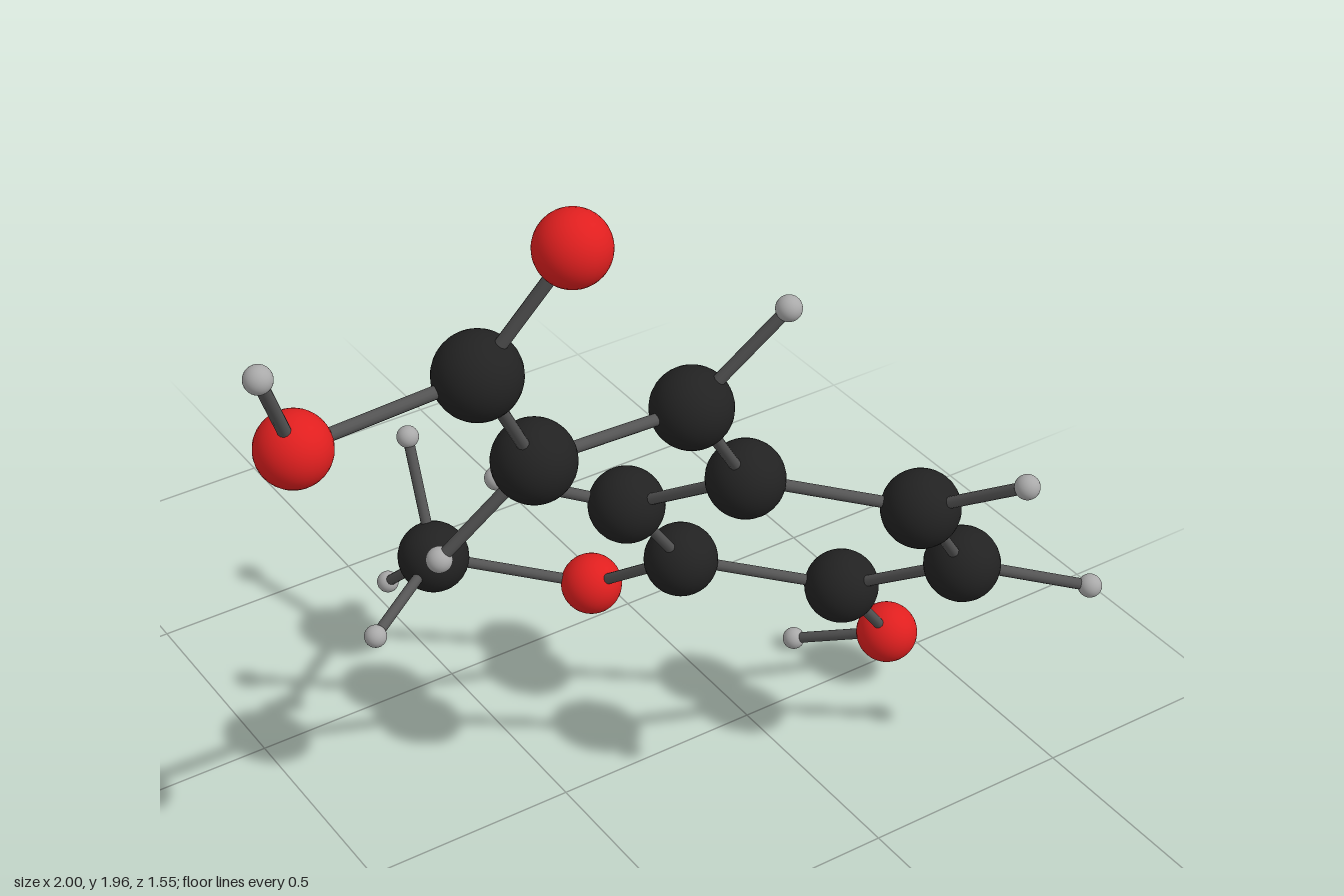
import * as THREE from 'three';

// Atom kinds: radius and colour
const KINDS = {
  carbon: { radius: 0.083, color: 0x222222 },
  oxygen: { radius: 0.071, color: 0xe01f1f },
  hydrogen: { radius: 0.026, color: 0xaaaaaa },
};

// Atoms: name -> kind and position
const ATOMS = {
  ring1: ['carbon', 0.22, 0.985, 0.33],
  ring2: ['carbon', 0.13, 0.775, 0.035],
  ring3: ['carbon', 0.34, 0.487, -0.057],
  ring4: ['carbon', 0.64, 0.417, 0.142],
  ring5: ['carbon', 0.735, 0.622, 0.427],
  ring6: ['carbon', 0.525, 0.908, 0.521],
  chainInner: ['carbon', 0.01, 1.292, 0.43],
  chainOuter: ['carbon', -0.342, 1.298, 0.424],
  acidCarbon: ['carbon', -0.528, 1.618, 0.538],
  acidOxygen: ['oxygen', -0.4, 1.89, 0.645],
  acidHydroxyl: ['oxygen', -0.876, 1.572, 0.503],
  hydroxyl: ['oxygen', 0.853, 0.139, 0.058],
  etherOxygen: ['oxygen', 0.283, 0.265, -0.332],
  methyl: ['carbon', -0.017, 0.332, -0.541],
  acidHydrogen: ['hydrogen', -0.973, 1.795, 0.585],
  chainOuterHydrogen: ['hydrogen', -0.503, 1.08, 0.34],
  chainInnerHydrogen: ['hydrogen', 0.157, 1.518, 0.527],
  ring2Hydrogen: ['hydrogen', -0.1, 0.842, -0.115],
  ring5Hydrogen: ['hydrogen', 0.972, 0.561, 0.577],
  ring6Hydrogen: ['hydrogen', 0.6, 1.068, 0.746],
  hydroxylHydrogen: ['hydrogen', 0.741, 0.03, -0.148],
  methylHydrogenTop: ['hydrogen', -0.002, 0.588, -0.67],
  methylHydrogenSide: ['hydrogen', -0.26, 0.305, -0.386],
  methylHydrogenBottom: ['hydrogen', -0.026, 0.128, -0.75],
};

// Bonds, written as chains of neighbouring atoms
const CHAINS = [
  ['ring1', 'ring2', 'ring3', 'ring4', 'ring5', 'ring6', 'ring1'],
  ['ring1', 'chainInner', 'chainOuter', 'acidCarbon', 'acidHydroxyl', 'acidHydrogen'],
  ['acidCarbon', 'acidOxygen'],
  ['chainOuter', 'chainOuterHydrogen'],
  ['chainInner', 'chainInnerHydrogen'],
  ['ring2', 'ring2Hydrogen'],
  ['ring5', 'ring5Hydrogen'],
  ['ring6', 'ring6Hydrogen'],
  ['ring4', 'hydroxyl', 'hydroxylHydrogen'],
  ['ring3', 'etherOxygen', 'methyl', 'methylHydrogenTop'],
  ['methylHydrogenSide', 'methyl', 'methylHydrogenBottom'],
];

const BOND_RADIUS = 0.0125;

export function createModel() {
  const model = new THREE.Group();
  model.name = 'molecule';
  const atoms = new THREE.Group();
  atoms.name = 'atoms';
  const bonds = new THREE.Group();
  bonds.name = 'bonds';
  model.add(atoms, bonds);

  // Shared sphere and material for each kind of atom
  const looks = {};
  for (const [kind, { radius, color }] of Object.entries(KINDS)) {
    looks[kind] = {
      geometry: new THREE.SphereGeometry(radius, 32, 20),
      material: new THREE.MeshStandardMaterial({ color }),
    };
  }

  // Atoms
  const positions = {};
  for (const [name, [kind, x, y, z]] of Object.entries(ATOMS)) {
    const atom = new THREE.Mesh(looks[kind].geometry, looks[kind].material);
    atom.name = name;
    atom.position.set(x, y, z);
    positions[name] = atom.position;
    atoms.add(atom);
  }

  // Bonds: a unit rod stretched between two atom centres
  const rod = new THREE.CylinderGeometry(BOND_RADIUS, BOND_RADIUS, 1, 12);
  const rodMaterial = new THREE.MeshStandardMaterial({ color: 0x555555 });
  const up = new THREE.Vector3(0, 1, 0);
  for (const chain of CHAINS) {
    for (let i = 1; i < chain.length; i++) {
      const a = positions[chain[i - 1]];
      const b = positions[chain[i]];
      const span = b.clone().sub(a);
      const bond = new THREE.Mesh(rod, rodMaterial);
      bond.name = `bond ${chain[i - 1]} to ${chain[i]}`;
      bond.position.copy(a).add(b).multiplyScalar(0.5);
      bond.scale.y = span.length();
      bond.quaternion.setFromUnitVectors(up, span.normalize());
      bonds.add(bond);
    }
  }

  return model;
}
